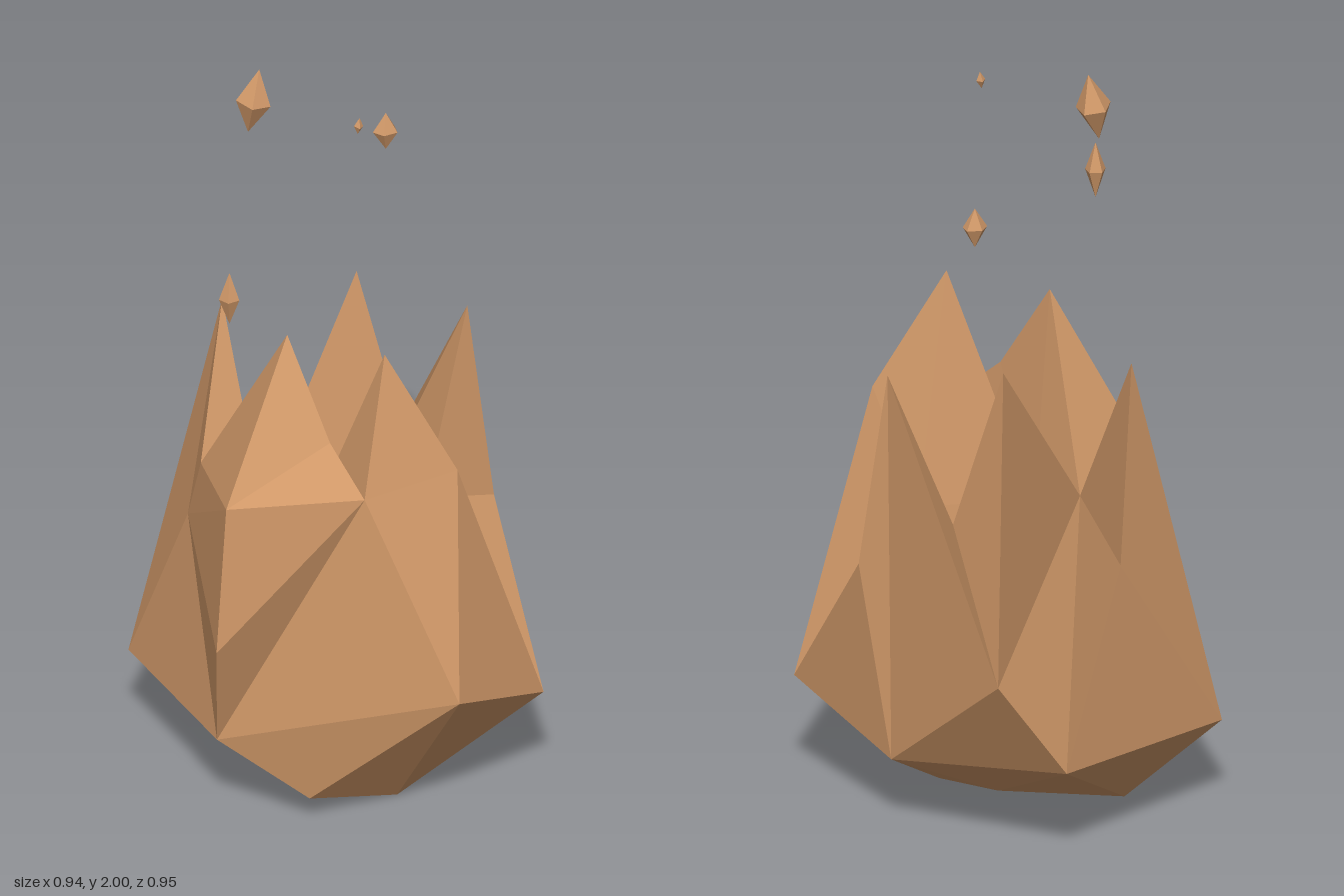
import * as THREE from 'three';

// Corner points of the faceted flame
const P = {
  // flame tips
  tipFront: [0.065, 1.35, 0.262], tipLeft: [-0.145, 1.335, 0.092], tipRight: [0.355, 1.25, -0.072],
  tipBack: [0.11, 1.285, -0.238], tipRear: [-0.235, 1.255, -0.236],
  // valleys between the tips
  n: [-0.19, 0.8, 0], o: [-0.115, 0.75, 0.12], w: [0.21, 0.8, 0.085], z: [0.21, 0.85, -0.15],
  m: [-0.345, 0.93, 0], v: [-0.068, 1.09, 0.232],
  // shoulders
  h: [-0.005, 0.98, 0.342], i: [0.235, 1.03, 0.335], l: [-0.35, 0.975, 0.3], e: [0.41, 0.72, -0.015],
  x: [-0.145, 0.78, -0.39], y: [-0.365, 0.75, -0.055], j: [-0.38, 0.57, 0.322],
  // widest belt
  a: [-0.472, 0.245, -0.25], b: [0.028, 0.268, -0.462], c: [0.218, 0.54, -0.477],
  f: [0.47, 0.305, 0.272], g: [0.207, 0.43, 0.475], k: [-0.355, 0.25, 0.22],
  // underside
  p: [-0.13, 0.078, 0.275], q: [0.115, 0, 0.185], r: [-0.25, 0.03, -0.15],
  s: [0.345, 0.197, -0.072], u: [0.08, 0.09, -0.125],
};

// Each part is made of fans: a hub followed by its rim, counterclockwise from outside
const PARTS = {
  frontFlame: ['tipFront h i w o h', 'f e w i'],
  leftFlame: ['tipLeft o n m l', 'v l h o tipLeft l'],
  rightFlame: ['tipRight z w e s c z', 's e f'],
  backFlame: ['tipBack n z c n'],
  rearFlame: ['tipRear n x a y m n', 'x b a'],
  innerValley: ['n o w z', 'n c b x'],
  frontWall: ['g h k p q f i h'],
  sideWall: ['j h l y k h', 'y a k', 'y l m'],
  base: ['u s q r b s', 'r q p k a b', 's f q', 's b c'],
};

function fanGeometry(fans) {
  const pos = [];
  for (const fan of fans) {
    const [hub, ...rim] = fan.split(' ').map((name) => P[name]);
    for (let i = 0; i + 1 < rim.length; i++) pos.push(...hub, ...rim[i], ...rim[i + 1]);
  }
  const geo = new THREE.BufferGeometry();
  geo.setAttribute('position', new THREE.Float32BufferAttribute(pos, 3));
  geo.computeVertexNormals();
  return geo;
}

// Small pointed ember: a bipyramid
function emberGeometry(sides, rx, ry, rz) {
  const geo = new THREE.SphereGeometry(1, sides, 2).toNonIndexed();
  geo.scale(rx, ry, rz);
  geo.computeVertexNormals();
  return geo;
}

export function createModel() {
  const model = new THREE.Group();
  model.name = 'flame';
  const clay = new THREE.MeshStandardMaterial({ color: 0xd09868, flatShading: true });
  clay.name = 'warm orange';

  const body = new THREE.Group();
  body.name = 'flameBody';
  for (const [name, fans] of Object.entries(PARTS)) {
    const mesh = new THREE.Mesh(fanGeometry(fans), clay);
    mesh.name = name;
    body.add(mesh);
  }
  model.add(body);

  // Embers floating above: sides, centre, half sizes, tilt
  const embers = [
    { sides: 5, at: [-0.185, 1.91, -0.105], size: [0.046, 0.091, 0.048], tilt: -0.16 },
    { sides: 4, at: [0.035, 1.932, 0.105], size: [0.012, 0.023, 0.015], tilt: -0.1 },
    { sides: 5, at: [0.183, 1.692, -0.23], size: [0.033, 0.053, 0.025], tilt: 0 },
    { sides: 5, at: [-0.33, 1.565, 0.25], size: [0.027, 0.075, 0.026], tilt: 0 },
  ];
  embers.forEach(({ sides, at, size, tilt }, i) => {
    const ember = new THREE.Mesh(emberGeometry(sides, ...size), clay);
    ember.name = `ember${i + 1}`;
    ember.position.set(...at);
    ember.rotation.z = tilt;
    model.add(ember);
  });
  return model;
}
